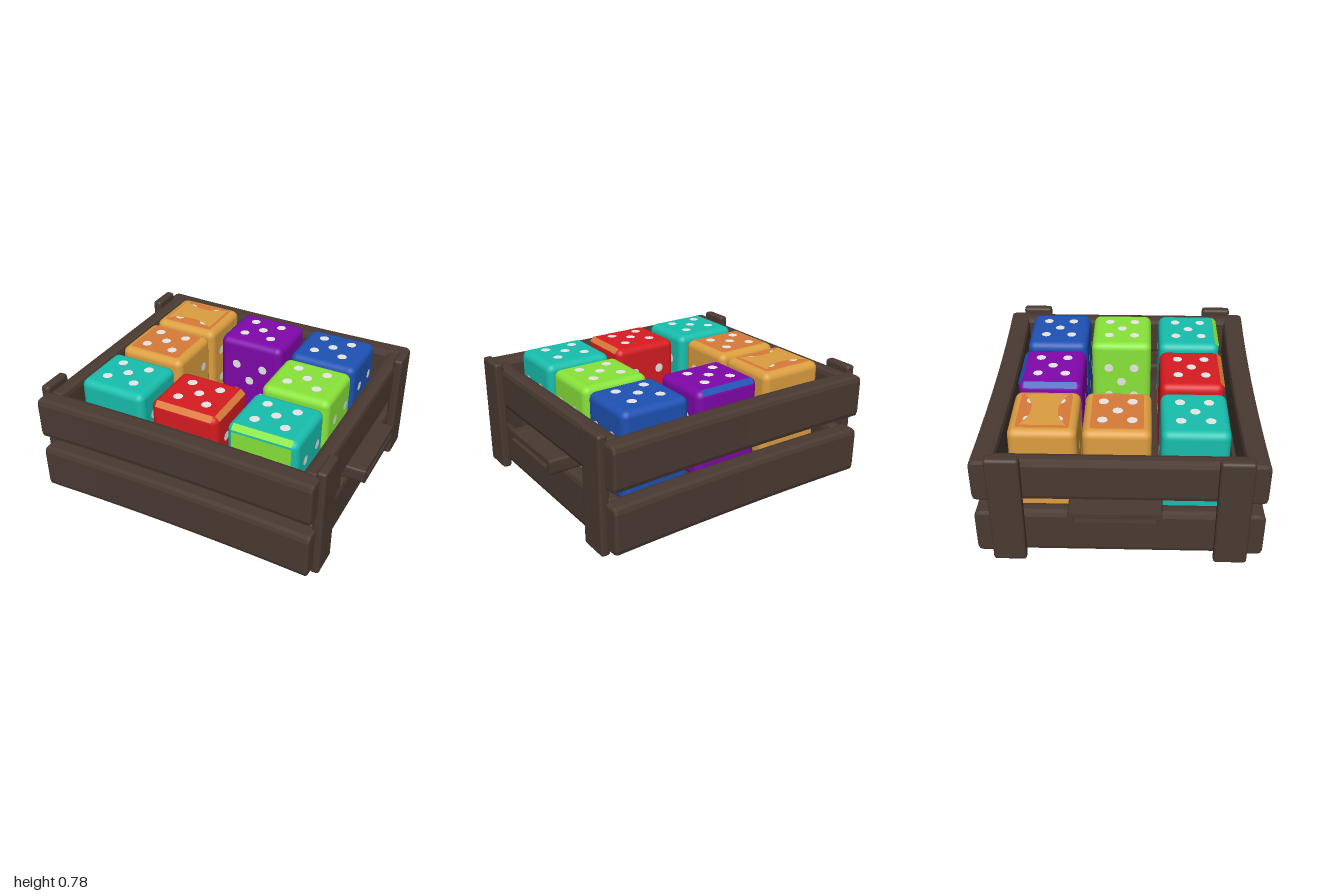
import * as THREE from 'three';
import { RoundedBoxGeometry } from 'three/addons/geometries/RoundedBoxGeometry.js';

const mat = (name, color) => {
  const m = new THREE.MeshStandardMaterial({ color });
  m.name = name;
  return m;
};

// Rectangle with rounded corners
function roundedRect(Target, w, h, r) {
  const s = new Target(), x = w / 2, y = h / 2;
  s.moveTo(-x + r, -y);
  s.lineTo(x - r, -y);
  s.quadraticCurveTo(x, -y, x, -y + r);
  s.lineTo(x, y - r);
  s.quadraticCurveTo(x, y, x - r, y);
  s.lineTo(-x + r, y);
  s.quadraticCurveTo(-x, y, -x, y - r);
  s.lineTo(-x, -y + r);
  s.quadraticCurveTo(-x, -y, -x + r, -y);
  return s;
}

// Board running along z, chamfered, its middle bent towards -x by bow
function boardGeometry(length, height, thick, bow) {
  const b = 0.015;
  const g = new THREE.ExtrudeGeometry(roundedRect(THREE.Shape, thick - 2 * b, height - 2 * b, 0.02), {
    depth: length - 2 * b, steps: 10, curveSegments: 2,
    bevelSize: b, bevelThickness: b, bevelSegments: 2,
  });
  g.translate(0, 0, b - length / 2);
  const p = g.attributes.position;
  for (let i = 0; i < p.count; i++) {
    const t = (2 * p.getZ(i)) / length;
    p.setX(i, p.getX(i) - bow * (1 - t * t));
  }
  g.computeVertexNormals();
  return g;
}

export function createModel() {
  const model = new THREE.Group();
  model.name = 'crateOfDice';
  const wood = mat('dark wood', 0x4a3a32);
  const white = mat('pip white', 0xececec);
  const teal = mat('teal', 0x18bfae);
  const red = mat('red', 0xd61c20);
  const orange = mat('orange', 0xd87a38);
  const amber = mat('amber', 0xdc9e40);
  const purple = mat('purple', 0x8008aa);
  const blue = mat('blue', 0x1e52b4);
  const lime = mat('lime', 0x88e43a);

  const add = (parent, name, geo, material, x = 0, y = 0, z = 0) => {
    const m = new THREE.Mesh(geo, material);
    m.name = name;
    m.position.set(x, y, z);
    parent.add(m);
    return m;
  };

  // Slatted walls: two boards on each side
  const crate = new THREE.Group();
  crate.name = 'crate';
  model.add(crate);
  for (const [level, y, h] of [['lower', 0.185, 0.29], ['upper', 0.555, 0.27]]) {
    const longGeo = boardGeometry(1.8, h, 0.135, 0.018);
    const sideGeo = boardGeometry(1.44, h, 0.1, 0);
    add(crate, level + 'FrontBoard', longGeo, wood, 0, y, 0.765).rotation.y = -Math.PI / 2;
    add(crate, level + 'BackBoard', longGeo, wood, 0, y, -0.768).rotation.y = Math.PI / 2;
    for (const s of [-1, 1])
      add(crate, level + (s > 0 ? 'Left' : 'Right') + 'Board', sideGeo, wood, s * 0.84, y, 0);
  }

  // Splinter of wood closing part of the gap on the left side
  add(crate, 'splinter', new THREE.BoxGeometry(0.06, 0.11, 0.24), wood, 0.85, 0.375, 0.44);

  // Corner posts outside the side boards
  const postGeo = new RoundedBoxGeometry(0.06, 0.73, 0.195, 2, 0.018);
  for (const sx of [-1, 1])
    for (const sz of [-1, 1])
      add(crate, 'cornerPost', postGeo, wood, sx * 0.905, 0.365, sz * 0.643);

  // Slotted handles filling the gap between side boards
  const grip = roundedRect(THREE.Shape, 0.53, 0.094, 0.02);
  grip.holes.push(roundedRect(THREE.Path, 0.46, 0.028, 0.005));
  const gripGeo = new THREE.ExtrudeGeometry(grip, { depth: 0.21, bevelEnabled: false, curveSegments: 3 });
  gripGeo.rotateY(Math.PI / 2);
  add(crate, 'leftHandle', gripGeo, wood, 0.79, 0.375, -0.025);
  add(crate, 'rightHandle', gripGeo, wood, -1.0, 0.375, -0.025);

  // Floor
  add(crate, 'floor', new THREE.BoxGeometry(1.62, 0.1, 1.42), wood, 0, 0.14, 0);

  // Dice
  const W = 0.44, H = 0.56, D = 0.395, R = 0.045;
  const bodyGeo = new RoundedBoxGeometry(W, H, D, 3, R);
  const pipGeo = new THREE.CircleGeometry(0.03, 14);
  const q = Math.PI / 2;
  const faces = [ // name, rotation x, rotation y, distance, width, height, pip rows
    ['top', -q, 0, H / 2, W, D, 0.215],
    ['front', 0, 0, D / 2, W, H, 0.19],
    ['back', 0, 2 * q, D / 2, W, H, 0.19],
    ['left', 0, q, W / 2, D, H, 0.19],
    ['right', 0, -q, W / 2, D, H, 0.19],
  ];
  const spots = [[0, 0], [-1, -1], [-1, 1], [1, -1], [1, 1]];

  // trim: colour of the upper rounded edge, by face name
  function die(x, z, body, topColour, trim = {}) {
    const g = new THREE.Group();
    g.name = 'die';
    g.position.set(x, 0.49, z);
    model.add(g);
    add(g, 'dieBody', bodyGeo, body);
    for (const [name, rx, ry, dist, w, h, row] of faces) {
      const face = new THREE.Group();
      face.name = name + 'Face';
      face.rotation.set(rx, ry, 0);
      g.add(face);
      const panel = new THREE.ShapeGeometry(roundedRect(THREE.Shape, w - 0.09, h - 0.09, 0.02));
      add(face, 'facePanel', panel, name === 'top' ? topColour : body, 0, 0, dist + 0.002);
      for (const [u, v] of spots)
        add(face, 'pip', pipGeo, white, u * w * 0.215, v * h * row, dist + 0.006);
      if (trim[name]) {
        const k = (R + 0.002) * Math.SQRT1_2 - R;
        const strip = new THREE.PlaneGeometry(w - 0.07, 0.042);
        add(face, 'edgeTrim', strip, trim[name], 0, h / 2 + k, dist + k).rotation.x = -q / 2;
      }
    }
    return g;
  }

  const X = 0.5, back = -0.445, mid = -0.022, front = 0.425;
  const patched = die(-X, back, amber, orange);
  die(0, back, purple, purple, { back: blue, right: blue });
  const cornered = die(X, back, blue, blue);
  die(-X, mid, amber, orange);
  die(X, mid, lime, lime);
  die(-X, front, teal, teal);
  die(0, front, red, red, { front: orange, left: orange });
  const mixed = die(X, front, teal, teal, { front: lime });

  // Amber hourglass patch on the back corner die
  const glass = new THREE.Shape();
  glass.moveTo(-0.16, -0.135);
  glass.quadraticCurveTo(0, -0.02, 0.16, -0.135);
  glass.lineTo(0.16, 0.135);
  glass.quadraticCurveTo(0, 0.02, -0.16, 0.135);
  add(patched, 'hourglassPatch', new THREE.ShapeGeometry(glass), amber, 0, H / 2 + 0.009, 0).rotation.x = -q;

  // Purple corner on the left face of the blue die
  const corner = new THREE.Shape([[-0.01, -0.17], [0.15, -0.17], [0.15, -0.1]].map(([u, v]) => new THREE.Vector2(u, v)));
  add(cornered, 'purpleCorner', new THREE.ShapeGeometry(corner), purple, W / 2 + 0.009, 0, 0).rotation.y = q;

  // Lime patch on the upper front of the front corner die
  add(mixed, 'limePatch', new THREE.PlaneGeometry(0.37, 0.2), lime, 0, 0.14, D / 2 + 0.004);

  return model;
}
